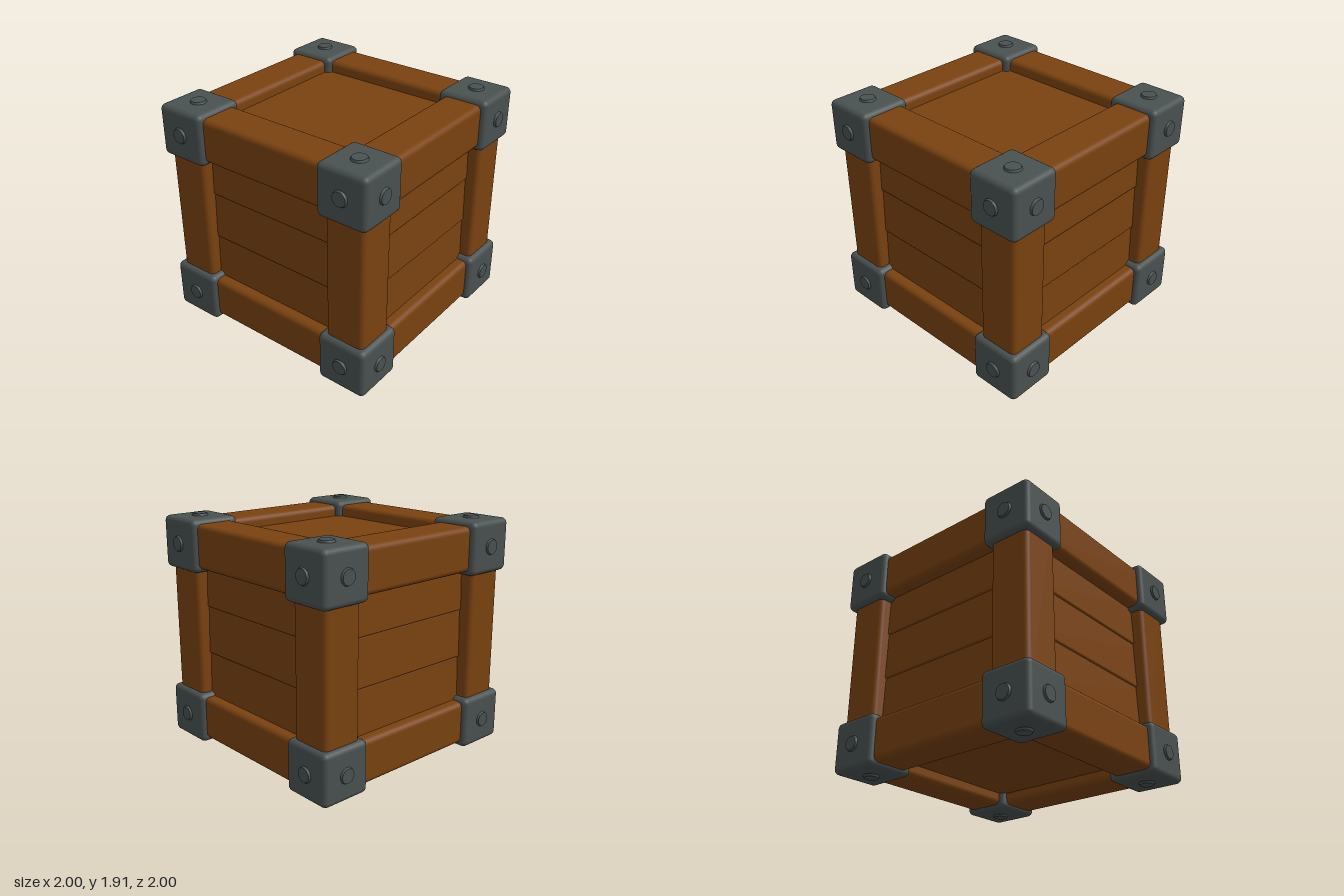
import * as THREE from 'three';
import { RoundedBoxGeometry } from 'three/addons/geometries/RoundedBoxGeometry.js';

const wood = new THREE.MeshStandardMaterial({ color: 0x7a4210 });
wood.name = 'brown wood';
const iron = new THREE.MeshStandardMaterial({ color: 0x4a5151 });
iron.name = 'grey iron';

const MID = 0.957; // height of the crate's centre
const SIGNS = [-1, 1];

export function createModel() {
  const crate = new THREE.Group();
  crate.name = 'crate';

  const add = (name, geometry, material, x, y, z) => {
    const mesh = new THREE.Mesh(geometry, material);
    mesh.name = name;
    mesh.position.set(x, MID + y, z);
    crate.add(mesh);
    return mesh;
  };
  const block = (w, h, d, r) => new RoundedBoxGeometry(w, h, d, 3, r);

  // twelve frame beams, four along each axis
  const beamX = block(1.6, 0.36, 0.34, 0.045);
  const beamY = block(0.34, 1.5, 0.34, 0.045);
  const beamZ = block(0.34, 0.36, 1.6, 0.045);
  for (const a of SIGNS) for (const b of SIGNS) {
    add('beamAcross', beamX, wood, 0, a * 0.725, b * 0.77);
    add('beamUpright', beamY, wood, a * 0.77, 0, b * 0.77);
    add('beamDeep', beamZ, wood, a * 0.77, b * 0.725, 0);
  }

  // flat top and bottom panels
  for (const s of SIGNS) {
    add(s > 0 ? 'topPanel' : 'bottomPanel', new THREE.BoxGeometry(1.4, 0.06, 1.4), wood, 0, s * 0.78, 0);
  }

  // three slightly leaning boards on each of the four walls
  const board = block(1.4, 0.4, 0.08, 0.015);
  for (let side = 0; side < 4; side++) {
    const angle = side * Math.PI / 2;
    for (let i = -1; i <= 1; i++) {
      const mesh = add('wallBoard', board, wood, Math.sin(angle) * 0.8, i * 0.395 + 0.02, Math.cos(angle) * 0.8);
      mesh.rotation.set(-0.03, angle, 0, 'YXZ');
    }
  }

  // iron corner blocks, each with a rivet on its three outer faces
  const corner = block(0.43, 0.425, 0.43, 0.045);
  const rivet = new THREE.CylinderGeometry(0.058, 0.07, 0.03, 20);
  for (const sx of SIGNS) for (const sy of SIGNS) for (const sz of SIGNS) {
    add('cornerBlock', corner, iron, sx * 0.768, sy * 0.727, sz * 0.768);
    add('rivetSide', rivet, iron, sx * 0.985, sy * 0.73, sz * 0.77).rotation.z = -sx * Math.PI / 2;
    add('rivetCap', rivet, iron, sx * 0.77, sy * 0.942, sz * 0.77).rotation.x = sy > 0 ? 0 : Math.PI;
    add('rivetFace', rivet, iron, sx * 0.77, sy * 0.73, sz * 0.985).rotation.x = sz * Math.PI / 2;
  }
  return crate;
}
